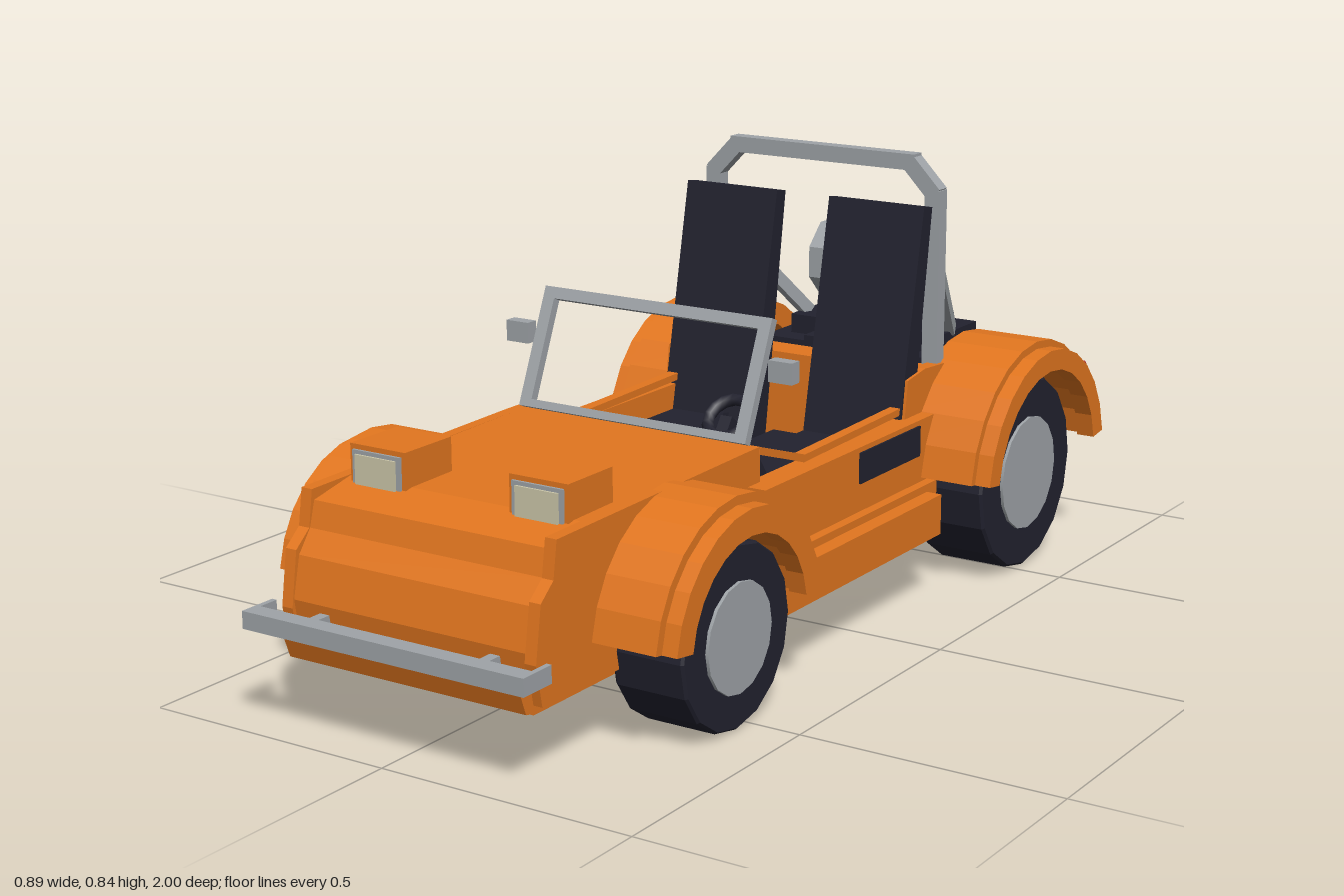
import * as THREE from 'three';

const mat = (name, color) => {
  const m = new THREE.MeshStandardMaterial({ color });
  m.name = name;
  return m;
};

export function createModel() {
  const car = new THREE.Group();
  car.name = 'openBuggy';
  const orange = mat('orange paint', 0xe2761f);
  const dark = mat('dark trim', 0x22222f);
  const grey = mat('grey metal', 0x9fa4a8);
  const cream = mat('lamp glass', 0xcdc8aa);
  const red = mat('tail lamp red', 0xb3232b);

  const add = (name, geometry, material) => {
    const mesh = new THREE.Mesh(geometry, material);
    mesh.name = name;
    car.add(mesh);
    return mesh;
  };
  // Box given by its limits on each axis
  const box = (name, m, x0, x1, y0, y1, z0, z1) => add(name,
    new THREE.BoxGeometry(Math.abs(x1 - x0), y1 - y0, Math.abs(z1 - z0))
      .translate((x0 + x1) / 2, (y0 + y1) / 2, (z0 + z1) / 2), m);
  // Side profile of [z, y] points, extruded across the car
  const profile = (name, m, pts, x0, x1) => {
    const lo = Math.min(x0, x1), hi = Math.max(x0, x1);
    const shape = new THREE.Shape(pts.map(([z, y]) => new THREE.Vector2(-z, y)));
    return add(name, new THREE.ExtrudeGeometry(shape, { depth: hi - lo, bevelEnabled: false })
      .rotateY(Math.PI / 2).translate(lo, 0, 0), m);
  };
  // Square bar between two points
  const bar = (name, m, a, b, w, h = w) => {
    const p = new THREE.Vector3(...a), q = new THREE.Vector3(...b);
    const mesh = add(name, new THREE.BoxGeometry(w, h, p.distanceTo(q)), m);
    mesh.position.copy(p).lerp(q, 0.5);
    mesh.lookAt(q);
  };
  // Ring sector used for the mudguards, angles in degrees from the front
  const arch = (z, y, rOut, rIn, a0, a1) => {
    const pts = [], n = 12;
    const at = (r, i) => {
      const a = THREE.MathUtils.degToRad(a0 + (a1 - a0) * i / n);
      return [z + r * Math.cos(a), y + r * Math.sin(a)];
    };
    for (let i = 0; i <= n; i++) pts.push(at(rOut, i));
    for (let i = n; i >= 0; i--) pts.push(at(rIn, i));
    return pts;
  };
  const wheel = (name, s, r, hub, y, z, x0, x1) => {
    const w = (x1 - x0) / 2;
    const pts = [[0, -w], [r * 0.975, -w], [r, -w * 0.93], [r, w * 0.93], [r * 0.975, w], [0, w]];
    const tyre = new THREE.LatheGeometry(pts.map(p => new THREE.Vector2(...p)), 16).toNonIndexed();
    tyre.computeVertexNormals();
    add(name + 'Tyre', tyre.rotateZ(Math.PI / 2), dark).position.set(s * (x0 + w), y, z);
    const cap = new THREE.CylinderGeometry(hub, hub, w * 2 + 0.012, 16).rotateZ(Math.PI / 2);
    add(name + 'Rim', cap, grey).position.set(s * (x0 + w), y, z);
  };

  // Bonnet and nose between the wings
  profile('bonnet', orange, [[0.26, 0.13], [0.26, 0.415], [0.3, 0.415], [0.77, 0.406], [0.865, 0.386],
    [0.878, 0.34], [0.908, 0.3], [0.925, 0.225], [0.91, 0.135]], -0.245, 0.245);
  box('frontPan', orange, -0.25, 0.25, 0.118, 0.14, 0.36, 0.915);
  profile('noseLip', orange, [[0.91, 0.185], [0.935, 0.18], [0.95, 0.165], [0.935, 0.125], [0.91, 0.12]], -0.25, 0.25);

  // Front bumper
  box('frontBumper', grey, -0.295, 0.295, 0.185, 0.217, 0.965, 1);

  // Passenger tub, floor and dashboard
  box('floor', dark, -0.25, 0.25, 0.115, 0.14, -0.42, 0.37);
  profile('dashboard', dark, [[0.263, 0.14], [0.263, 0.412], [0.252, 0.412], [0.2, 0.34], [0.2, 0.14]], -0.25, 0.25);
  box('tunnel', dark, -0.05, 0.05, 0.14, 0.27, -0.3, 0.22);
  bar('gearLever', dark, [0, 0.25, 0], [0, 0.375, -0.03], 0.02);
  box('rearBulkhead', orange, -0.27, 0.27, 0.13, 0.425, -0.4, -0.33);

  for (const s of [-1, 1]) {
    // Front wings beside the bonnet
    profile('noseWing', orange, [[0.26, 0.13], [0.26, 0.415], [0.3, 0.415], [0.87, 0.406], [0.88, 0.34],
      [0.915, 0.31], [0.93, 0.21], [0.915, 0.135]], s * 0.245, s * 0.268);

    // Tub sides, door line and sills
    profile('tubSide', orange, [[0.3, 0.13], [0.3, 0.35], [-0.32, 0.35], [-0.34, 0.13]], s * 0.25, s * 0.305);
    profile('rearCheek', orange, [[-0.25, 0.34], [-0.262, 0.425], [-0.33, 0.435], [-0.41, 0.43], [-0.41, 0.3],
      [-0.33, 0.2]], s * 0.25, s * 0.278);
    box('sill', orange, s * 0.3, s * 0.357, 0.13, 0.21, -0.26, 0.33);
    box('sillStep', orange, s * 0.3, s * 0.325, 0.2, 0.225, -0.3, 0.33);
    bar('doorRailFront', orange, [s * 0.258, 0.408, 0.262], [s * 0.258, 0.358, 0.11], 0.022, 0.014);
    bar('doorRail', orange, [s * 0.258, 0.357, 0.11], [s * 0.258, 0.365, -0.27], 0.022, 0.014);
    box('sideVent', dark, s * 0.3, s * 0.309, 0.28, 0.34, -0.26, -0.03);

    // Mudguards, each with a lower outer lip
    profile('frontMudguard', orange, arch(0.535, 0.17, 0.245, 0.19, 8, 172), s * 0.25, s * 0.395);
    profile('frontMudguardLip', orange, arch(0.535, 0.17, 0.228, 0.18, 8, 172), s * 0.39, s * 0.425);
    profile('rearMudguard', orange, arch(-0.54, 0.195, 0.27, 0.225, 8, 172), s * 0.25, s * 0.415);
    profile('rearMudguardLip', orange, arch(-0.54, 0.195, 0.255, 0.213, 8, 172), s * 0.41, s * 0.447);

    wheel('front', s, 0.167, 0.1, 0.167, 0.54, 0.255, 0.4);
    wheel('rear', s, 0.195, 0.115, 0.195, -0.535, 0.25, 0.402);

    // Headlamps
    box('headlampBox', orange, s * 0.11, s * 0.23, 0.385, 0.47, 0.66, 0.785);
    box('headlampRim', grey, s * 0.118, s * 0.222, 0.388, 0.461, 0.78, 0.79);
    box('headlampGlass', cream, s * 0.127, s * 0.214, 0.395, 0.454, 0.786, 0.794);

    // Tail lamps lying on the rear mudguards
    const lamp = box('tailLamp', red, -0.033, 0.033, -0.03, 0.03, -0.01, 0.01);
    const lampFace = box('tailLampFace', red, -0.018, 0.018, -0.018, 0.018, -0.017, -0.005);
    for (const part of [lamp, lampFace]) {
      part.position.set(s * 0.37, 0.342, -0.805);
      part.rotation.x = 0.7;
    }

    // Bumper returns and brackets
    box('frontBumperEnd', grey, s * 0.285, s * 0.295, 0.185, 0.217, 0.925, 0.97);
    box('frontBumperBracket', grey, s * 0.17, s * 0.19, 0.19, 0.21, 0.92, 0.97);
    box('rearBumperArm', grey, s * 0.215, s * 0.235, 0.187, 0.207, -0.95, -0.855);

    // Seats
    box('seatCushion', dark, s * 0.06, s * 0.248, 0.14, 0.3, -0.28, 0.06);
    profile('seatBack', dark, [[-0.23, 0.28], [-0.325, 0.755], [-0.357, 0.75], [-0.285, 0.26]], s * 0.06, s * 0.272);

    // Mirrors
    box('mirror', grey, s * 0.265, s * 0.315, 0.527, 0.567, 0.205, 0.23);

    // Roll bar leg, corner and rear brace
    box('rollBarLeg', grey, s * 0.237, s * 0.27, 0.4, 0.775, -0.42, -0.39);
    bar('rollBarCorner', grey, [s * 0.257, 0.766, -0.405], [s * 0.2, 0.825, -0.405], 0.03, 0.034);
    bar('rollBarBrace', grey, [s * 0.245, 0.66, -0.41], [s * 0.17, 0.44, -0.63], 0.026);

    // Engine sides, frame rails and tail pipes
    box('cylinderHead', dark, s * 0.09, s * 0.215, 0.24, 0.4, -0.76, -0.53);
    box('headCover', dark, s * 0.12, s * 0.18, 0.39, 0.44, -0.73, -0.58);
    box('engineSidePlate', dark, s * 0.125, s * 0.21, 0.13, 0.26, -0.8, -0.58);
    box('frameRail', dark, s * 0.175, s * 0.22, 0.12, 0.17, -0.92, -0.4);
    box('tailPipe', grey, s * 0.087, s * 0.113, 0.12, 0.146, -1, -0.8);
  }

  // Windscreen frame, leaning back
  const rect = (C, x, y0, y1) => new C([[-x, y0], [x, y0], [x, y1], [-x, y1]].map(p => new THREE.Vector2(...p)));
  const frame = rect(THREE.Shape, 0.25, 0, 0.23);
  frame.holes.push(rect(THREE.Path, 0.225, 0.015, 0.208));
  const screen = add('windscreenFrame',
    new THREE.ExtrudeGeometry(frame, { depth: 0.018, bevelEnabled: false }), grey);
  screen.position.set(0, 0.415, 0.265);
  screen.rotation.x = -0.4;

  // Steering wheel and column
  const steer = add('steeringWheel', new THREE.TorusGeometry(0.042, 0.012, 6, 14), dark);
  steer.position.set(0.168, 0.44, 0.205);
  steer.rotation.x = -0.85;
  bar('steeringColumn', dark, [0.168, 0.44, 0.205], [0.168, 0.37, 0.255], 0.024);

  // Roll bar top
  box('rollBarTop', grey, -0.212, 0.212, 0.81, 0.842, -0.42, -0.39);

  // Engine block, fan housing and air cleaner
  box('engineBlock', dark, -0.1, 0.1, 0.14, 0.42, -0.78, -0.5);
  box('gearbox', dark, -0.07, 0.07, 0.14, 0.3, -0.52, -0.38);
  box('rearAxle', dark, -0.27, 0.27, 0.175, 0.215, -0.555, -0.515);
  box('engineTop', dark, -0.08, 0.08, 0.41, 0.485, -0.73, -0.62);
  box('oilFiller', dark, -0.045, 0.045, 0.48, 0.53, -0.695, -0.65);
  box('fanShroud', dark, -0.08, 0.08, 0.31, 0.43, -0.82, -0.73);
  profile('fanHousing', dark, [[-0.8, 0.43], [-0.845, 0.43], [-0.866, 0.4], [-0.866, 0.35], [-0.845, 0.325],
    [-0.8, 0.32]], -0.03, 0.03);
  box('intakePipe', grey, -0.02, 0.02, 0.4, 0.53, -0.575, -0.54);
  const drum = new THREE.CylinderGeometry(0.082, 0.082, 0.16, 8, 1, false, Math.PI / 8)
    .rotateZ(Math.PI / 2).toNonIndexed();
  drum.computeVertexNormals();
  add('airCleaner', drum, grey).position.set(0, 0.58, -0.56);

  // Rear bumper, engine guard, silencer and skid plate
  box('rearBumper', grey, -0.283, 0.283, 0.185, 0.21, -0.965, -0.938);
  box('engineGuard', grey, -0.12, 0.12, 0.14, 0.31, -0.8, -0.775);
  profile('silencer', grey, [[-0.81, 0.102], [-0.81, 0.15], [-0.83, 0.165], [-0.87, 0.13], [-0.86, 0.102]], -0.2, 0.2);
  profile('skidPlate', grey, [[-0.56, 0.115], [-0.56, 0.14], [-0.82, 0.14], [-0.82, 0.105]], -0.18, 0.18);

  return car;
}
